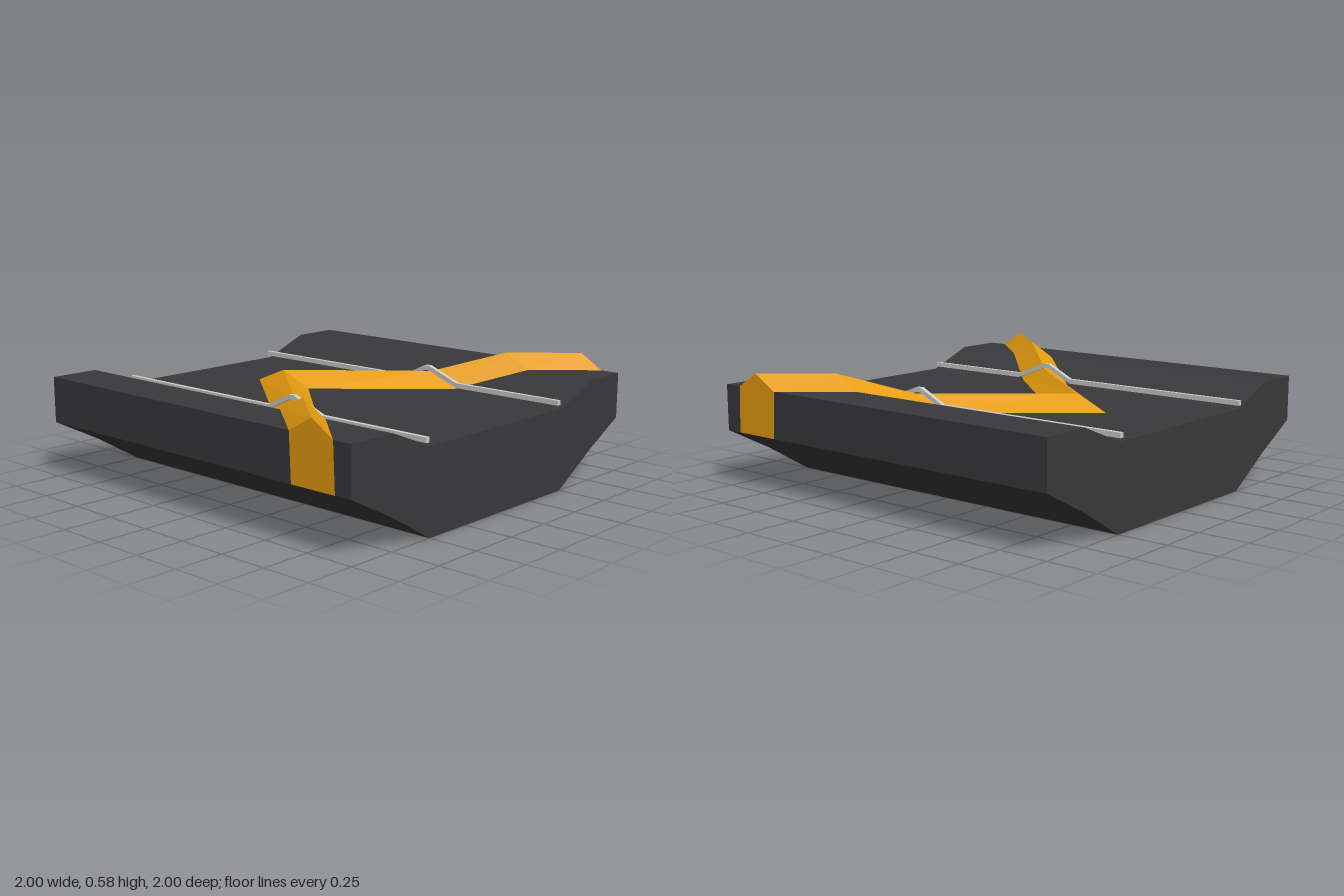
import * as THREE from 'three';

const mat = (color) => new THREE.MeshStandardMaterial({ color, flatShading: true });

// Extrude a polygon centred along its depth
function extrude(points, depth) {
  const shape = new THREE.Shape(points.map(([x, y]) => new THREE.Vector2(x, y)));
  return new THREE.ExtrudeGeometry(shape, { depth, bevelEnabled: false }).translate(0, 0, -depth / 2);
}

// Closed solid through cross-sections of equal point count, ordered along +z
function loft(sections) {
  const pos = [];
  const tri = (...corners) => corners.forEach((p) => pos.push(...p));
  const n = sections[0].length;
  for (let i = 0; i < sections.length - 1; i++) {
    for (let j = 0; j < n; j++) {
      const k = (j + 1) % n;
      const a = sections[i][j], b = sections[i][k];
      const c = sections[i + 1][k], d = sections[i + 1][j];
      tri(a, d, c);
      tri(a, c, b);
    }
  }
  const first = sections[0], last = sections[sections.length - 1];
  for (let j = 1; j < n - 1; j++) {
    tri(first[0], first[j], first[j + 1]);
    tri(last[0], last[j + 1], last[j]);
  }
  const g = new THREE.BufferGeometry();
  g.setAttribute('position', new THREE.Float32BufferAttribute(pos, 3));
  g.computeVertexNormals();
  return g;
}

export function createModel() {
  const group = new THREE.Group();
  const add = (name, geometry, material) => {
    const mesh = new THREE.Mesh(geometry, material);
    mesh.name = name;
    group.add(mesh);
    return mesh;
  };

  // Trough-shaped slab: half profile mirrored, swept along x
  const half = [[0.5, 0], [0.75, 0.15], [1, 0.28], [1, 0.51], [0.75, 0.51], [0.5, 0.41]];
  const profile = [...half, ...half.map(([z, y]) => [-z, y]).reverse()];
  add('slab', extrude(profile, 2).rotateY(Math.PI / 2), mat(0x39393b));

  // V-shaped ridge that follows the slab's top and wraps down its ends
  const lerp = THREE.MathUtils.lerp;
  const sections = [-1, -0.75, -0.5, 0, 0.5, 0.75, 1].map((z) => {
    const t = Math.abs(z);
    const top = t > 0.6 ? 0.51 : 0.41;
    const left = lerp(-0.57, 0.65, t), right = lerp(-0.21, 0.9, t);
    const zz = z * 1.001;
    return [
      [left + 0.01, 0.28, zz],
      [left, top, zz],
      [lerp(-0.39, 0.78, t), top + 0.075, zz],
      [right, top, zz],
      [right + 0.01, 0.28, zz],
    ];
  });
  add('chevronRidge', loft(sections), mat(0xe69c10));

  // Thin rails that hop over the ridge
  const path = [[-1, 0.424], [0.03, 0.424], [0.17, 0.492], [0.2, 0.492], [0.38, 0.424], [0.99, 0.424]];
  const outline = [...path, ...path.map(([x, y]) => [x, y + 0.024]).reverse()];
  const railMaterial = mat(0xcccccc);
  for (const [name, z] of [['frontRail', 0.51], ['backRail', -0.485]]) {
    add(name, extrude(outline, 0.022), railMaterial).position.z = z;
  }

  return group;
}
